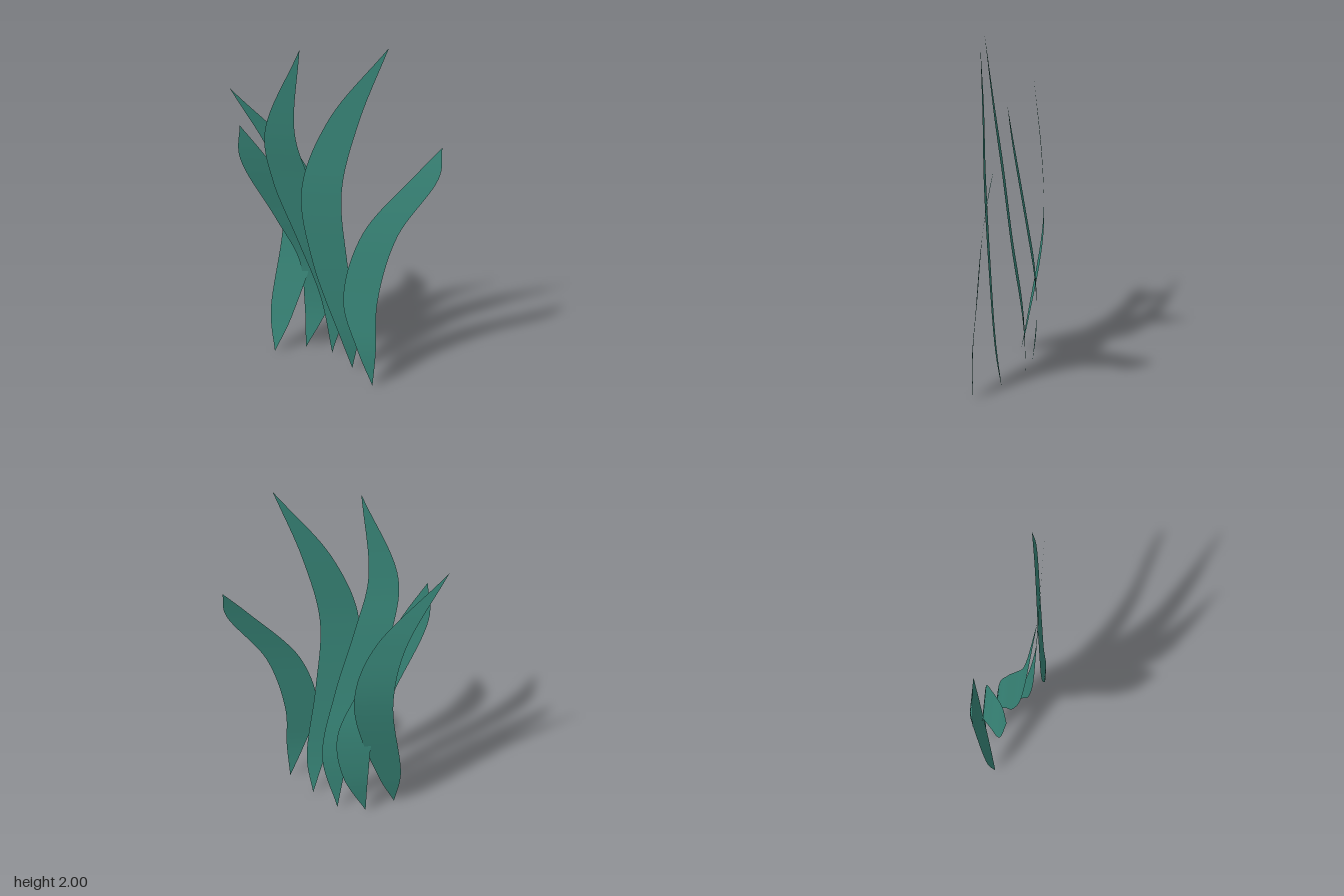
import * as THREE from 'three';

const material = new THREE.MeshStandardMaterial({ color: 0x3a8a7c, side: THREE.DoubleSide });

// Every blade is turned a little about the vertical: z falls by this much per unit of x across its width
const SLOPE = -0.22;

// A thin ribbon stretched between two smooth edge curves.
// Each row is a cross-section: [height, one edge x, other edge x, z of the middle]
function makeBlade(name, rows) {
  const edge = (side) => new THREE.CatmullRomCurve3(rows.map(([y, xl, xr, z]) => {
    const offset = side * (xr - xl) / 2;
    return new THREE.Vector3((xl + xr) / 2 + offset, y, z + offset * SLOPE);
  }));
  const edgeA = edge(-1), edgeB = edge(1);
  const geometry = new THREE.PlaneGeometry(1, 1, 4, 48);
  const pos = geometry.attributes.position;
  for (let i = 0; i < pos.count; i++) {
    const across = pos.getX(i) + 0.5, along = pos.getY(i) + 0.5;
    const p = edgeA.getPoint(along).lerp(edgeB.getPoint(along), across);
    pos.setXYZ(i, p.x, p.y, p.z);
  }
  geometry.computeVertexNormals();
  const mesh = new THREE.Mesh(geometry, material);
  mesh.name = name;
  return mesh;
}

export function createModel() {
  const group = new THREE.Group();
  group.name = 'grassTuft';
  group.add(
    makeBlade('outerBladeRight', [
      [0, -0.37, -0.37, 0.015], [0.25, -0.405, -0.275, -0.035], [0.87, -0.35, -0.14, -0.14],
      [1.22, -0.4, -0.23, -0.115], [1.65, -0.595, -0.595, 0]]),
    makeBlade('innerBladeRight', [
      [0, -0.21, -0.21, -0.09], [0.3, -0.222, -0.08, -0.125], [0.6, -0.245, -0.045, -0.115],
      [0.9, -0.355, -0.16, -0.035], [1.3, -0.505, -0.355, 0.085], [1.5, -0.483, -0.483, 0.13]]),
    makeBlade('middleBlade', [
      [0, -0.04, -0.04, -0.09], [0.4, -0.1, 0.05, -0.073], [0.8, -0.2, -0.01, 0.01],
      [1.2, -0.31, -0.11, 0.09], [1.5, -0.325, -0.17, 0.143], [1.97, -0.12, -0.12, 0.165]]),
    makeBlade('innerBladeLeft', [
      [0, 0.125, 0.125, 0.015], [0.25, 0.06, 0.165, 0.053], [0.75, -0.075, 0.115, 0.112],
      [1.2, -0.12, 0.09, 0.142], [1.6, 0.02, 0.175, 0.117], [2, 0.315, 0.315, 0.07]]),
    makeBlade('outerBladeLeft', [
      [0, 0.29, 0.29, 0.14], [0.25, 0.2, 0.305, 0.15], [0.55, 0.115, 0.3, 0.135],
      [0.95, 0.2, 0.385, 0.08], [1.3, 0.455, 0.578, -0.02], [1.45, 0.577, 0.577, -0.062]]),
  );
  return group;
}
